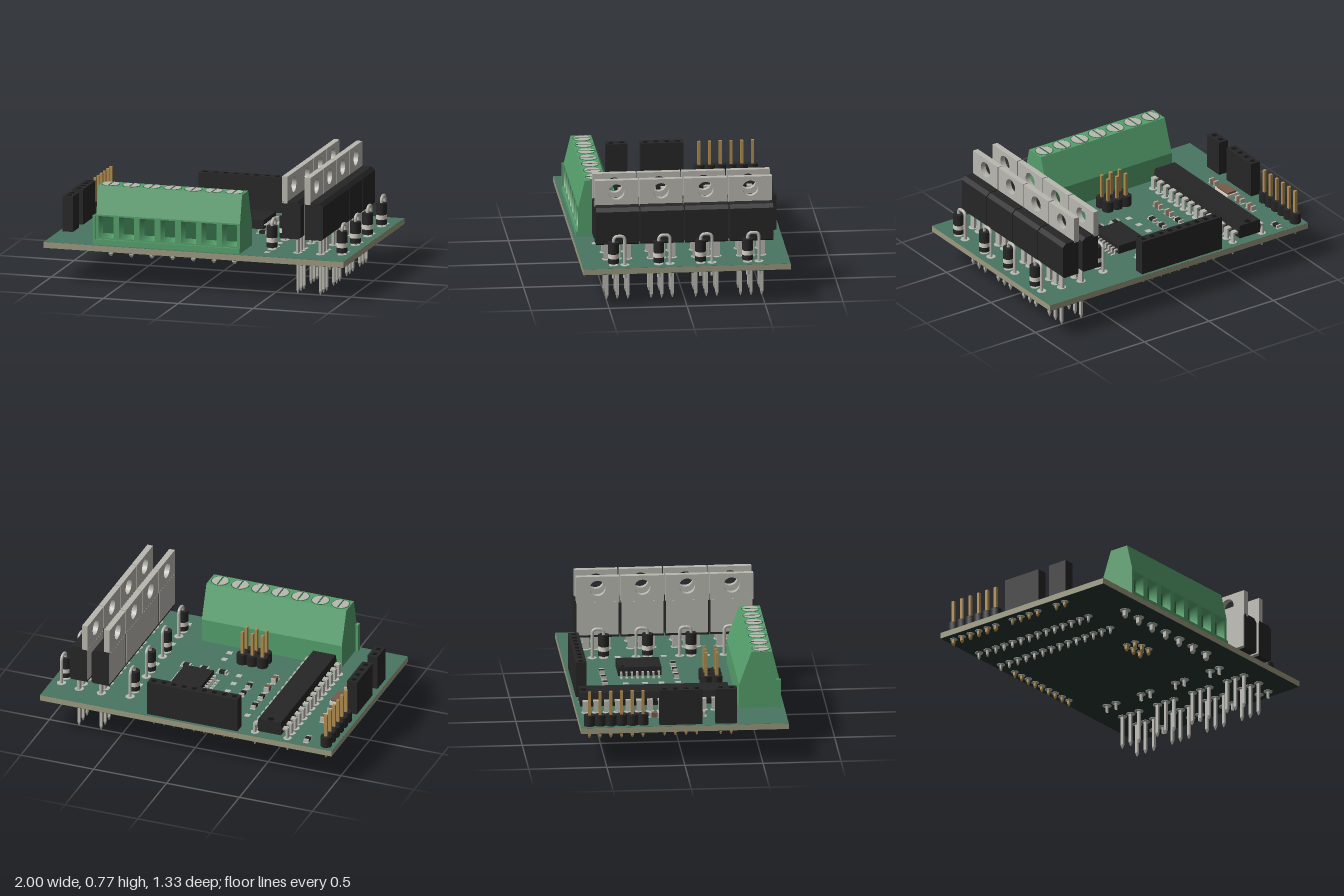
import * as THREE from 'three';

const mat = (color) => new THREE.MeshStandardMaterial({ color, side: THREE.DoubleSide });
const M = {
  mask: mat(0x4a7562), core: mat(0x9c9a80), under: mat(0x24352d), black: mat(0x262626), dark: mat(0x121212),
  metal: mat(0xb9b8b0), gold: mat(0xb08d4f), green: mat(0x55a06c), deep: mat(0x2f6b45), brown: mat(0x7a5a48),
  pad: mat(0xb5bdb4), band: mat(0xd5d3c6)
};
const TOP = 0.265, BOTTOM = 0.225, PITCH = 0.0688;

export function createModel() {
  const root = new THREE.Group();
  let parent = root;

  const add = (name, geo, m) => {
    const mesh = new THREE.Mesh(geo, m);
    mesh.name = name;
    parent.add(mesh);
    return mesh;
  };
  // start a named group for the following parts
  const part = (name, x = 0, z = 0) => {
    parent = new THREE.Group();
    parent.name = name;
    parent.position.set(x, 0, z);
    root.add(parent);
  };
  // box given by its limits on each axis
  const box = (name, x0, x1, y0, y1, z0, z1, m) => add(name,
    new THREE.BoxGeometry(x1 - x0, y1 - y0, z1 - z0).translate((x0 + x1) / 2, (y0 + y1) / 2, (z0 + z1) / 2), m);
  const cyl = (name, x, y0, y1, z, r, m, seg = 20, r2 = r) => add(name,
    new THREE.CylinderGeometry(r, r2, y1 - y0, seg).translate(x, (y0 + y1) / 2, z), m);
  const shape = (pts) => new THREE.Shape(pts.map(([a, b]) => new THREE.Vector2(a, b)));
  const extrude = (s, depth) => new THREE.ExtrudeGeometry(s, { depth, bevelEnabled: false, curveSegments: 16 });
  // profile drawn in (z, y), swept along x
  const sweepX = (s, x0, x1) => extrude(s, x1 - x0).rotateY(-Math.PI / 2).translate(x1, 0, 0);
  // square pin with a pointed lower end
  const pin = (name, x, z, y0, y1, r, m) => {
    box(name, x - r, x + r, y0 + 0.015, y1, z - r, z + r, m);
    add(name + 'Tip', new THREE.CylinderGeometry(r * 1.41, r * 0.6, 0.015, 4).rotateY(Math.PI / 4).translate(x, y0 + 0.0075, z), m);
  };
  // solder pad on both faces of the board
  const pad = (x, z, r = 0.025) => {
    cyl('solderPad', x, TOP, TOP + 0.003, z, r, M.pad, 14);
    cyl('solderPadUnder', x, BOTTOM - 0.003, BOTTOM, z, r, M.pad, 14);
  };

  // circuit board
  part('circuitBoard');
  box('boardCore', -1, 1, BOTTOM + 0.001, TOP - 0.001, -0.665, 0.665, M.core);
  box('boardTop', -1, 1, TOP - 0.001, TOP, -0.665, 0.665, M.mask);
  box('boardUnderside', -1, 1, BOTTOM, BOTTOM + 0.001, -0.665, 0.665, M.under);

  // screw terminal block
  part('terminalBlock');
  const X0 = -0.66, X1 = 0.3;
  add('terminalBody', sweepX(shape([[0.375, TOP], [0.575, TOP], [0.575, 0.46], [0.631, 0.46], [0.587, 0.64],
    [0.455, 0.64], [0.375, 0.42]]), X0, X1), M.green);
  const face = shape([[X0, TOP], [X1, TOP], [X1, 0.46], [X0, 0.46]]);
  const screws = Array.from({ length: 7 }, (_, i) => -0.595 + i * 0.1375);
  for (const x of screws) {
    face.holes.push(new THREE.Path([[-1, 0.31], [-1, 0.45], [1, 0.45], [1, 0.31]]
      .map(([s, y]) => new THREE.Vector2(x + s * 0.05, y))));
    const funnel = new THREE.CylinderGeometry(0.0707, 0.05, 0.055, 4, 1, true).rotateY(Math.PI / 4)
      .rotateX(Math.PI / 2).scale(1, 1.4, 1).translate(x, 0.38, 0.603);
    add('wireFunnel', funnel, M.green);
    box('wireOpening', x - 0.05, x + 0.05, 0.31, 0.45, 0.574, 0.577, M.deep);
    cyl('screwRim', x, 0.638, 0.641, 0.52, 0.06, M.deep, 24);
    cyl('screwHead', x, 0.635, 0.643, 0.52, 0.054, M.metal, 24);
    box('screwSlot', x - 0.005, x + 0.005, 0.64, 0.644, 0.468, 0.572, M.deep);
    pad(x, 0.52, 0.035);
    pin('terminalPin', x, 0.52, 0.17, TOP, 0.013, M.metal);
  }
  add('terminalFace', extrude(face, 0.056).translate(0, 0, 0.575), M.green);
  box('terminalSideRib', -0.68, X0, TOP, 0.455, 0.61, 0.643, M.green);
  box('terminalFoot', X0, X1, TOP, 0.3, 0.631, 0.643, M.green);

  // power transistors in two rows
  for (const x of [0.56, 0.711]) for (const z of [0.428, 0.143, -0.143, -0.43]) {
    part('powerTransistor', x, z);
    const w = 0.139;
    const tab = shape([[-w, 0.6], [w, 0.6], [w, 0.775], [-w, 0.775]]);
    tab.holes.push(new THREE.Path().absarc(0, 0.697, 0.051, 0, Math.PI * 2, true));
    add('heatTab', sweepX(tab, 0, 0.038), M.metal);
    box('tabBack', -0.001, 0.02, 0.385, 0.605, -w + 0.004, w - 0.004, M.metal);
    add('transistorBody', extrude(shape([[0.002, 0.37], [0.11, 0.37], [0.124, 0.38], [0.124, 0.59], [0.1, 0.613],
      [0.002, 0.613]]), 2 * w).translate(0, 0, -w), M.black);
    for (const dz of [-0.068, 0, 0.068]) {
      box('legShoulder', 0.077, 0.093, 0.25, 0.37, dz - 0.02, dz + 0.02, M.metal);
      box('leg', 0.077, 0.093, 0.025, 0.25, dz - 0.01, dz + 0.01, M.metal);
      add('legTip', new THREE.CylinderGeometry(0.0141, 0.004, 0.025, 4).rotateY(Math.PI / 4).scale(0.8, 1, 1)
        .translate(0.085, 0.0125, dz), M.metal);
      pad(0.085, dz, 0.03);
    }
  }

  // upright diodes with looped wires
  const diodeRows = [[0.457, [-0.4, -0.12, 0.16, 0.445]], [0.93, [-0.395, -0.094, 0.175, 0.465]]];
  for (const [x, zs] of diodeRows) for (const z of zs) {
    part('diode', x, z);
    cyl('diodeBody', 0, 0.282, 0.42, 0, 0.035, M.black, 24);
    cyl('diodeBand', 0, 0.315, 0.345, 0, 0.0358, M.band, 24);
    const path = new THREE.CurvePath();
    const v = (y, zz) => new THREE.Vector3(0, y, zz);
    path.add(new THREE.LineCurve3(v(0.18, 0), v(0.425, 0)));
    path.add(new THREE.QuadraticBezierCurve3(v(0.425, 0), v(0.458, 0), v(0.458, -0.03)));
    path.add(new THREE.LineCurve3(v(0.458, -0.03), v(0.458, -0.045)));
    path.add(new THREE.QuadraticBezierCurve3(v(0.458, -0.045), v(0.458, -0.073), v(0.425, -0.073)));
    path.add(new THREE.LineCurve3(v(0.425, -0.073), v(0.18, -0.073)));
    add('diodeWire', new THREE.TubeGeometry(path, 60, 0.0105, 8), M.metal);
    pad(0, 0, 0.03);
    pad(0, -0.073, 0.03);
  }

  // large two-row chip
  part('processorChip');
  const chip = shape([[-0.65, 0.335], [-0.642, 0.295], [-0.488, 0.295], [-0.48, 0.335], [-0.488, 0.385], [-0.642, 0.385]]);
  add('chipBody', extrude(chip, 0.955).translate(0, 0, -0.64), M.black);
  cyl('chipNotch', -0.565, 0.384, 0.387, -0.615, 0.02, M.dark, 16);
  for (let i = 0; i < 14; i++) for (const s of [-1, 1]) {
    const x = -0.565 + s * 0.112, z = -0.61 + i * PITCH, inner = -0.565 + s * 0.08;
    box('chipShoulder', Math.min(x, inner), Math.max(x, inner), 0.328, 0.342, z - 0.018, z + 0.018, M.metal);
    box('chipLeg', x - 0.006, x + 0.006, 0.27, 0.34, z - 0.018, z + 0.018, M.metal);
    pin('chipPin', x, z, 0.18, 0.275, 0.007, M.metal);
    pad(x, z, 0.027);
  }

  // socket headers
  const socket = (name, x, z, nx, nz) => {
    part(name, x, z);
    const hx = nx * PITCH / 2, hz = nz * PITCH / 2;
    box('socketBody', -hx, hx, TOP, 0.496, -hz, hz, M.black);
    for (let i = 0; i < nx; i++) for (let j = 0; j < nz; j++) {
      const px = (i + 0.5) * PITCH - hx, pz = (j + 0.5) * PITCH - hz;
      box('socketHole', px - 0.014, px + 0.014, 0.495, 0.498, pz - 0.014, pz + 0.014, M.dark);
      pin('socketPin', px, pz, 0.185, TOP, 0.008, M.gold);
      pad(px, pz, 0.025);
    }
  };
  socket('rearSocket', -0.036, -0.61, 9, 1);
  socket('sideSocketLong', -0.94, -0.022, 1, 4);
  socket('sideSocketShort', -0.94, 0.268, 1, 2);

  // pin headers
  const pinHeader = (name, x, z, nx, nz) => {
    part(name, x, z);
    for (let i = 0; i < nx; i++) for (let j = 0; j < nz; j++) {
      const px = (i - (nx - 1) / 2) * PITCH, pz = (j - (nz - 1) / 2) * PITCH;
      const block = add('headerBlock', new THREE.CylinderGeometry(0.0372, 0.0372, 0.07, 8)
        .rotateY(Math.PI / 8).translate(px, TOP + 0.035, pz), M.black);
      block.name = 'headerBlock';
      pin('headerPin', px, pz, 0.18, 0.49, 0.0095, M.gold);
      pad(px, pz, 0.025);
    }
  };
  pinHeader('sidePinHeader', -0.94, -0.435, 1, 6);
  pinHeader('programmingHeader', -0.115, 0.237, 3, 2);

  // small surface-mount chip
  part('driverChip', 0.144, -0.2025);
  box('driverBody', -0.1, 0.1, 0.272, 0.33, -0.138, 0.138, M.black);
  cyl('driverMark', -0.075, 0.329, 0.332, -0.11, 0.012, M.dark, 12);
  for (let i = 0; i < 8; i++) for (const s of [-1, 1]) {
    const z = (i - 3.5) * 0.0345;
    const lead = (a, b, y0, y1) =>
      box('driverLead', Math.min(s * a, s * b), Math.max(s * a, s * b), y0, y1, z - 0.007, z + 0.007, M.metal);
    lead(0.1, 0.122, 0.294, 0.302);
    lead(0.114, 0.122, 0.268, 0.3);
    lead(0.118, 0.146, TOP, 0.272);
  }

  // crystal
  part('crystal', -0.806, -0.03);
  box('crystalBase', -0.042, 0.042, TOP, 0.287, -0.072, 0.072, M.band);
  box('crystalLid', -0.034, 0.034, 0.287, 0.3, -0.063, 0.063, M.brown);

  // chip resistors and capacitors
  const smd = (name, x, z, turn, m, h) => {
    part(name, x, z);
    parent.rotation.y = turn ? Math.PI / 2 : 0;
    box('chipBody', -0.02, 0.02, TOP + 0.002, TOP + h, -0.0155, 0.0155, m);
    for (const s of [-1, 1]) {
      box('endCap', s * 0.025 - 0.006, s * 0.025 + 0.006, TOP + 0.001, TOP + h + 0.001, -0.016, 0.016, M.metal);
      box('landing', s * 0.029 - 0.012, s * 0.029 + 0.012, TOP, TOP + 0.003, -0.018, 0.018, M.pad);
    }
  };
  const resistors = [[-0.806, -0.588, 1], [-0.33, -0.304, 1], [-0.33, -0.18, 1], [-0.203, -0.304, 1], [-0.203, -0.18, 1],
    [-0.203, -0.075, 1], [-0.225, -0.437, 0], [-0.096, -0.437, 0], [0.021, -0.437, 0], [0.144, -0.437, 0],
    [0.021, 0.028, 0], [0.144, 0.028, 0], [0.267, 0.028, 0]];
  for (const [x, z, t] of resistors) smd('resistor', x, z, t, M.black, 0.02);
  const capacitors = [[-0.806, -0.304], [-0.806, -0.18], [-0.806, 0.113], [-0.33, -0.075], [-0.33, 0.048]];
  for (const [x, z] of capacitors) smd('capacitor', x, z, 1, M.brown, 0.033);

  // square test pads
  part('testPads');
  for (const [x, z] of [[-0.33, -0.428], [-0.096, -0.304], [-0.096, -0.18], [-0.096, -0.075], [-0.091, 0.032], [0.075, 0.198],
    [0.075, 0.289], [0.455, -0.31], [0.455, -0.016], [0.455, 0.262], [0.455, 0.54]])
    box('testPad', x - 0.018, x + 0.018, TOP, TOP + 0.003, z - 0.018, z + 0.018, M.pad);

  return root;
}
